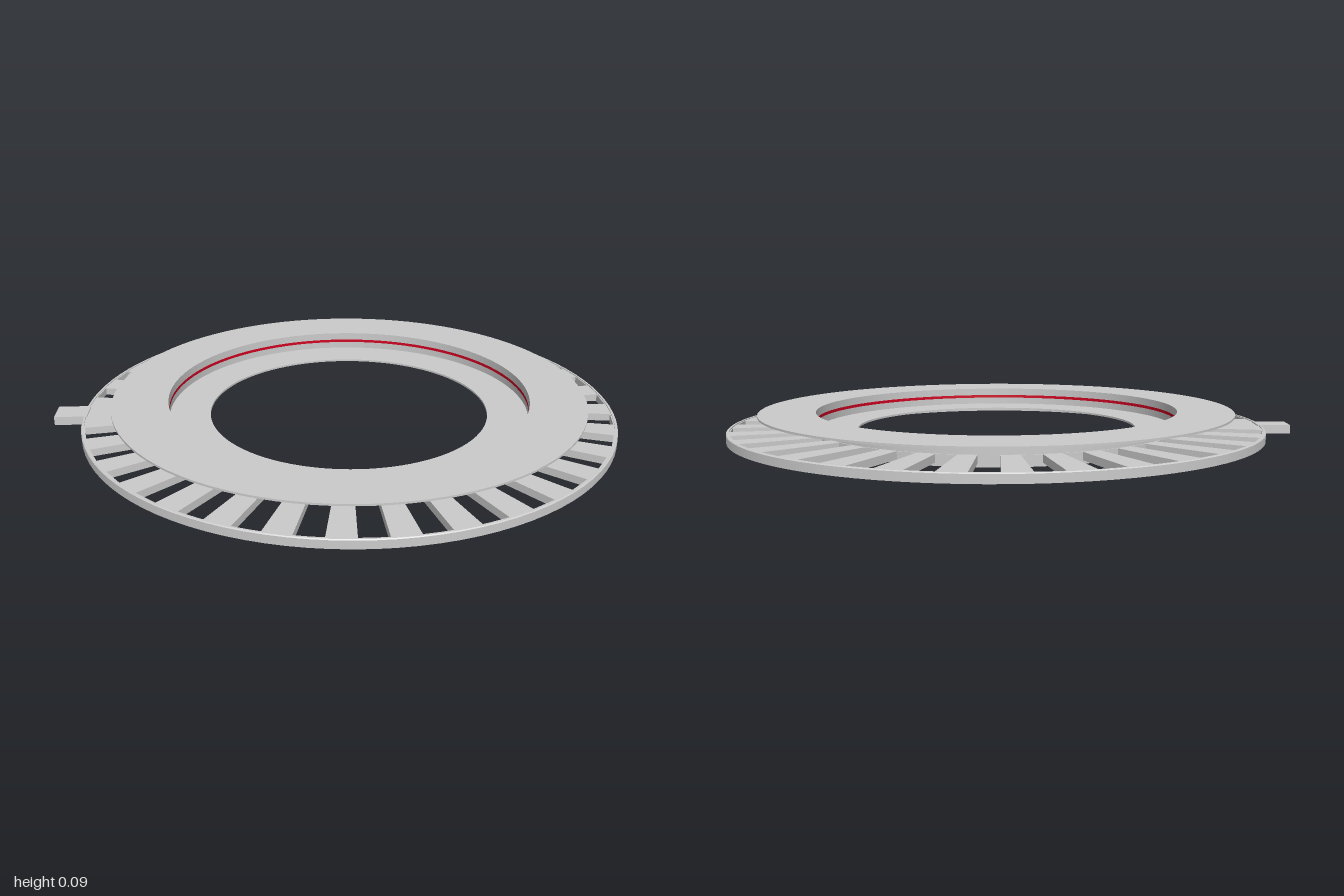
import * as THREE from 'three';

const GREY = new THREE.MeshStandardMaterial({ color: 0xcccccc, side: THREE.DoubleSide });
const RED = new THREE.MeshStandardMaterial({ color: 0xd00020, side: THREE.DoubleSide });
const SLOTS = 32;
const SLOT_IN = 0.66, SLOT_OUT = 0.935;     // radial extent of a slot
const HALF_IN = 0.034, HALF_OUT = 0.046;    // half widths of a slot at its ends

function add(parent, name, geometry, material = GREY) {
  const mesh = new THREE.Mesh(geometry, material);
  mesh.name = name;
  parent.add(mesh);
  return mesh;
}

// Ring of revolution from a closed [radius, height] profile with crisp edges
function ring(points) {
  const closed = [...points, points[0]].map(([r, y]) => new THREE.Vector2(r, y));
  const group = new THREE.Group();
  for (let i = 0; i < closed.length - 1; i++) {
    add(group, 'ringFace', new THREE.LatheGeometry([closed[i], closed[i + 1]], 96));
  }
  return group;
}

function box(parent, name, w, h, d, x, y, z) {
  const mesh = add(parent, name, new THREE.BoxGeometry(w, h, d));
  mesh.position.set(x, y, z);
}

// Flat ring pierced by radial slots, leaving solid spokes between them
function slottedPlate() {
  const shape = new THREE.Shape().absarc(0, 0, 0.942, 0, Math.PI * 2, false);
  shape.holes.push(new THREE.Path().absarc(0, 0, 0.65, 0, Math.PI * 2, true));
  for (let i = 0; i < SLOTS; i++) {
    if (i === SLOTS / 2) continue;          // solid where the tab joins
    const a = (i / SLOTS) * Math.PI * 2;
    const corners = [
      [SLOT_IN, -HALF_IN], [SLOT_IN, HALF_IN], [SLOT_OUT, HALF_OUT], [SLOT_OUT, -HALF_OUT],
    ].map(([r, w]) => new THREE.Vector2(r, w).rotateAround(new THREE.Vector2(), a));
    shape.holes.push(new THREE.Path(corners));
  }
  const geometry = new THREE.ExtrudeGeometry(shape, { depth: 0.026, bevelEnabled: false, curveSegments: 96 });
  return geometry.rotateX(-Math.PI / 2).translate(0, 0.012, 0);
}

export function createModel() {
  const model = new THREE.Group();
  model.name = 'ventedRing';
  const body = new THREE.Group();
  body.name = 'body';
  body.position.x = 0.05;
  model.add(body);

  const rings = {
    innerRing: [[0.5, 0.024], [0.648, 0.024], [0.648, 0.031], [0.5, 0.031]],
    hubWall: [[0.646, 0], [0.656, 0], [0.656, 0.09], [0.646, 0.09]],
    topFlange: [[0.646, 0.088], [0.845, 0.088], [0.845, 0.095], [0.646, 0.095]],
    outerRim: [[0.94, 0.01], [0.95, 0.01], [0.95, 0.038], [0.947, 0.041], [0.94, 0.041]],
  };
  for (const [name, profile] of Object.entries(rings)) {
    const part = ring(profile);
    part.name = name;
    body.add(part);
  }

  // Red line around the inside of the hub
  const seal = add(body, 'sealLine', new THREE.CylinderGeometry(0.6445, 0.6445, 0.011, 96, 1, true), RED);
  seal.position.y = 0.062;

  add(body, 'slottedPlate', slottedPlate());

  // Channel shaped tab on the right-hand side
  const tab = new THREE.Group();
  tab.name = 'tab';
  model.add(tab);
  box(tab, 'tabTop', 0.115, 0.008, 0.094, -0.9425, 0.038, 0);
  for (const s of [-1, 1]) box(tab, 'tabSide', 0.115, 0.028, 0.008, -0.9425, 0.025, s * 0.043);

  return model;
}
